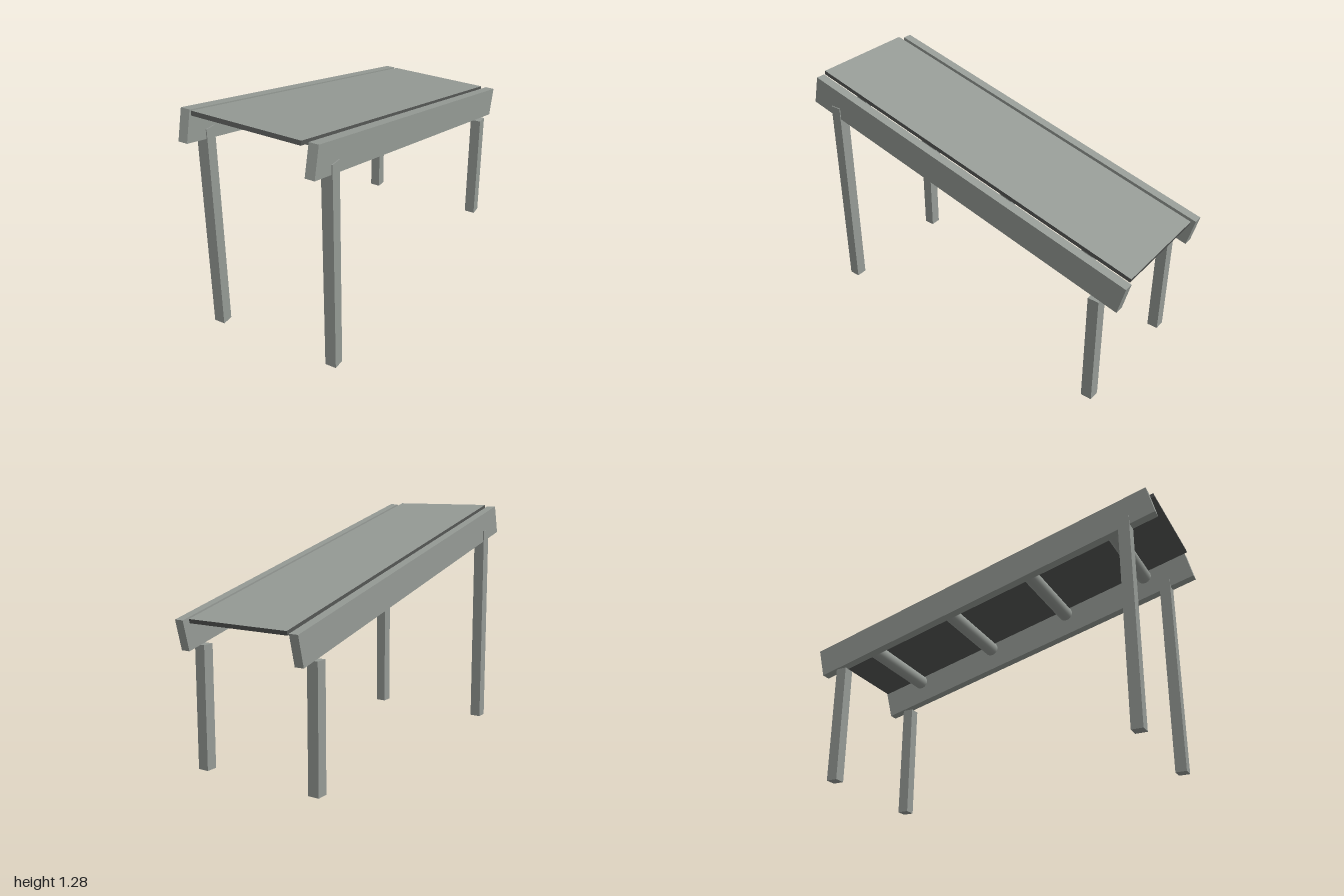
import * as THREE from 'three';

export function createModel() {
  const steel = new THREE.MeshStandardMaterial({ name: 'steel grey', color: 0x959a95 });
  const rubber = new THREE.MeshStandardMaterial({ name: 'dark rubber', color: 0x555755 });
  const slope = THREE.MathUtils.degToRad(14);
  const model = new THREE.Group();
  model.name = 'inclinedConveyor';

  function add(name, geometry, material, x, y, z, tilt = 0) {
    const mesh = new THREE.Mesh(geometry, material);
    mesh.name = name;
    mesh.position.set(x, y, z);
    mesh.rotation.x = -tilt; // raises the front end
    model.add(mesh);
    return mesh;
  }

  // Side rails and the four legs
  const rail = new THREE.BoxGeometry(0.05, 0.16, 2.02);
  for (const [side, s] of [['left', 1], ['right', -1]]) {
    add(side + 'Rail', rail, steel, s * 0.342, 0.947, 0, slope);
    for (const [end, z, h] of [['Front', 0.835, 1.13], ['Rear', -0.835, 0.64]]) {
      add(side + end + 'Leg', new THREE.BoxGeometry(0.06, h, 0.06), steel, s * 0.342, h / 2, z);
    }
  }

  // Belt: dark slab with a grey upper face
  add('belt', new THREE.BoxGeometry(0.585, 0.022, 2.02),
    [rubber, rubber, steel, rubber, rubber, rubber], 0, 1.021, 0, slope);

  // Rollers under the belt, evenly spaced along the slope
  const roller = new THREE.CylinderGeometry(0.04, 0.04, 0.566, 32).rotateZ(Math.PI / 2);
  for (let i = 0; i < 4; i++) {
    const d = -0.75 + i * 0.5;
    add('roller' + (i + 1), roller, steel, 0, 0.975 + d * Math.sin(slope), d * Math.cos(slope));
  }

  return model;
}
